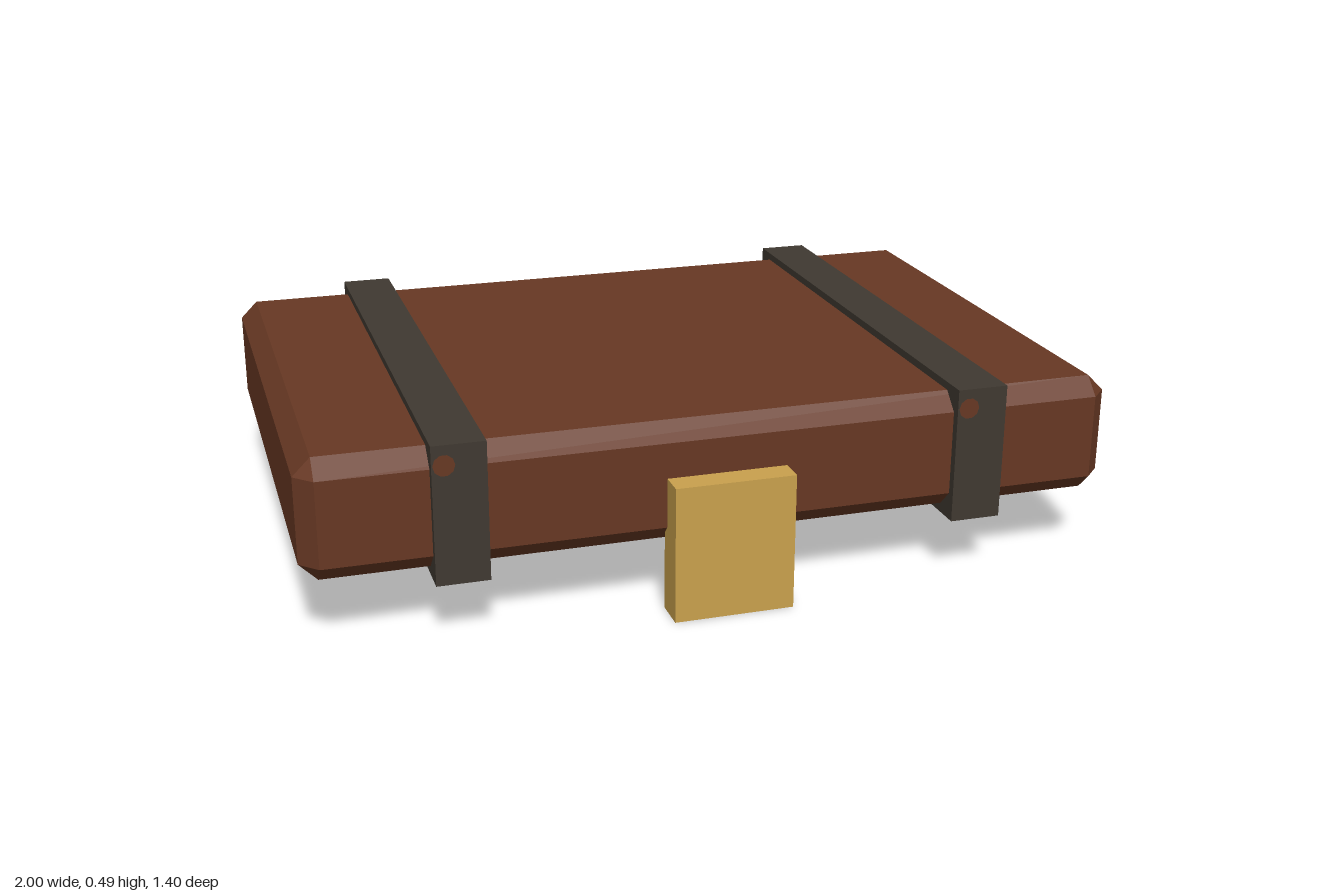
import * as THREE from 'three';
import { ConvexGeometry } from 'three/addons/geometries/ConvexGeometry.js';

const mat = (name, color) => {
  const m = new THREE.MeshStandardMaterial({ color });
  m.name = name;
  return m;
};

// Box with flat chamfers on every edge and corner
function chamferedBox(w, h, d, c) {
  const points = [];
  for (const sx of [-1, 1]) for (const sy of [-1, 1]) for (const sz of [-1, 1]) {
    const x = w / 2, y = h / 2, z = d / 2;
    points.push(
      new THREE.Vector3(sx * x, sy * (y - c), sz * (z - c)),
      new THREE.Vector3(sx * (x - c), sy * y, sz * (z - c)),
      new THREE.Vector3(sx * (x - c), sy * (y - c), sz * z));
  }
  return new ConvexGeometry(points);
}

export function createModel() {
  const leather = mat('brown leather', 0x673823);
  const strapDark = mat('dark strap', 0x403931);
  const brass = mat('brass', 0xc9a14d);
  const model = new THREE.Group();
  model.name = 'strappedCase';

  const add = (name, geometry, material, x, y, z) => {
    const mesh = new THREE.Mesh(geometry, material);
    mesh.name = name;
    mesh.position.set(x, y, z);
    model.add(mesh);
    return mesh;
  };

  // Case body
  add('caseBody', chamferedBox(2, 0.297, 1.32, 0.043), leather, 0, 0.322, -0.023);

  // Straps around the case, each with a small leather stud on its front
  for (const [side, x] of [['right', -0.638], ['left', 0.638]]) {
    add(side + 'Strap', new THREE.BoxGeometry(0.127, 0.34, 1.36), strapDark, x, 0.32, -0.022);
    add(side + 'StrapStud', new THREE.CircleGeometry(0.026, 10), leather, x - 0.035, 0.442, 0.66);
  }

  // Hanging clasp plate
  add('clasp', new THREE.BoxGeometry(0.296, 0.34, 0.085), brass, 0, 0.17, 0.66);

  return model;
}
